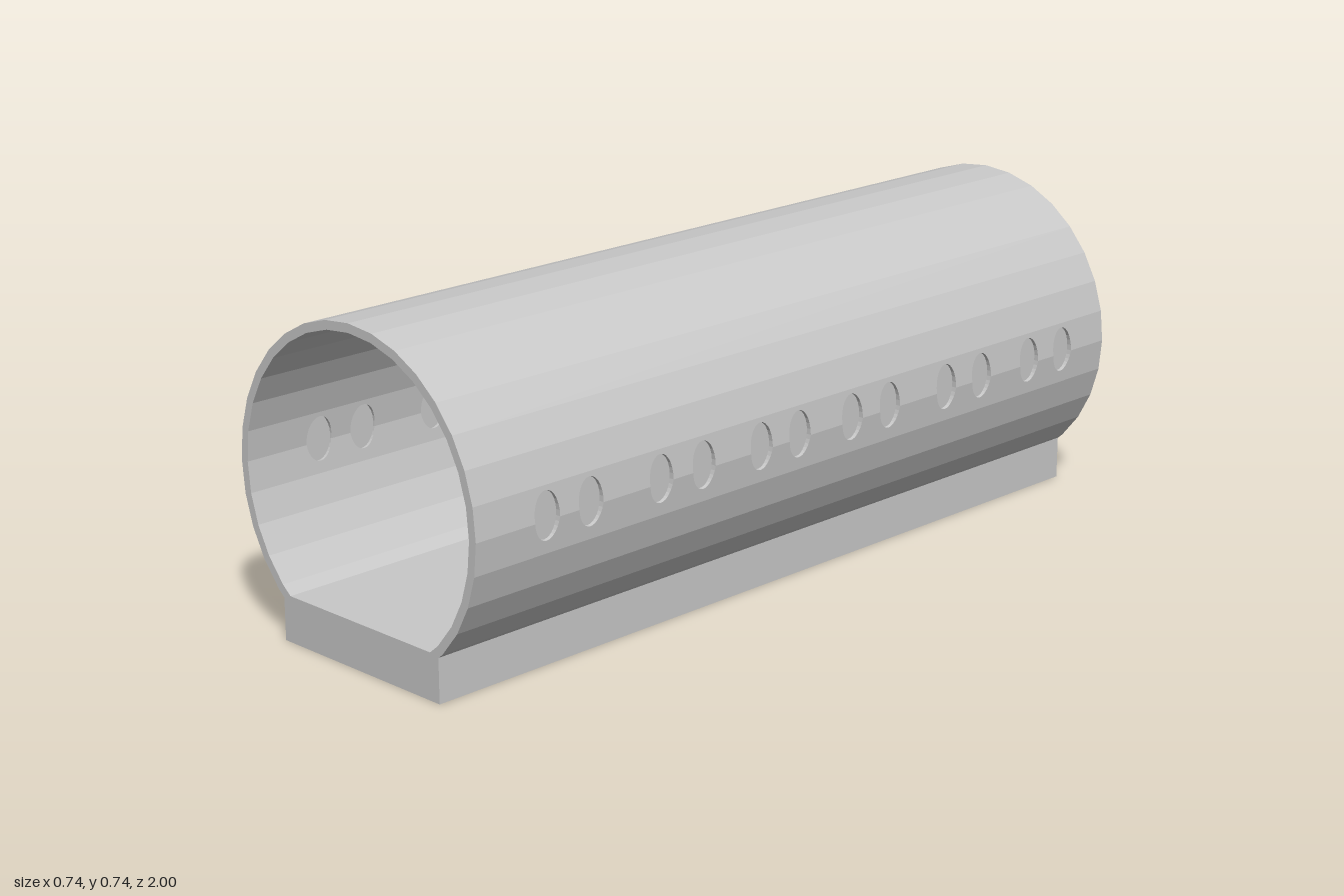
import * as THREE from 'three';

const SIDES = 32, STEP = (2 * Math.PI) / SIDES;
const OUTER = 0.371, INNER = 0.351, AXIS_Y = 0.373, LENGTH = 2;
// Window centres along the tube, and their oval size
const WINDOWS = [0.81, 0.69, 0.49, 0.365, 0.19, 0.07, -0.1, -0.225, -0.42, -0.545, -0.72, -0.845];
const RZ = 0.034, RY = 0.053, RISE = 0.009;

// Long facet beside the tube's midline, notched by half of each window.
// start: midline angle, dir: way round the tube, rise: window centre above the facet's edge
function windowFacet(start, dir, rise) {
  const width = OUTER * Math.sin(STEP);
  const shape = new THREE.Shape();
  shape.moveTo(-LENGTH / 2, 0);
  const a0 = Math.asin(-rise / RY);
  for (const z of [...WINDOWS].reverse()) {
    for (let i = 0; i <= 14; i++) {
      const a = Math.PI - a0 - ((Math.PI - 2 * a0) * i) / 14;
      shape.lineTo(z + RZ * Math.cos(a), Math.max(0, rise + RY * Math.sin(a)));
    }
  }
  shape.lineTo(LENGTH / 2, 0);
  shape.lineTo(LENGTH / 2, width);
  shape.lineTo(-LENGTH / 2, width);
  const geo = new THREE.ExtrudeGeometry(shape, { depth: OUTER - INNER, bevelEnabled: false });

  // Lay the flat strip onto the tube's facet
  const p = geo.attributes.position;
  const end = start + dir * STEP;
  for (let i = 0; i < p.count; i++) {
    const z = p.getX(i), t = p.getY(i) / width, r = INNER + p.getZ(i);
    p.setXYZ(i,
      r * THREE.MathUtils.lerp(Math.cos(start), Math.cos(end), t),
      r * THREE.MathUtils.lerp(Math.sin(start), Math.sin(end), t), z);
  }
  // Keep faces outward where the mapping mirrors them
  if (dir > 0) {
    const b = new THREE.Vector3(), c = new THREE.Vector3();
    for (let i = 0; i < p.count; i += 3) {
      b.fromBufferAttribute(p, i + 1);
      c.fromBufferAttribute(p, i + 2);
      p.setXYZ(i + 1, c.x, c.y, c.z);
      p.setXYZ(i + 2, b.x, b.y, b.z);
    }
  }
  geo.computeVertexNormals();
  return geo;
}

// Plain curved shell between the two window rows
function shellArc(start) {
  const n = SIDES / 2 - 2, pts = [];
  const at = (r, i) => new THREE.Vector2(r * Math.cos(start + i * STEP), r * Math.sin(start + i * STEP));
  for (let i = 0; i <= n; i++) pts.push(at(OUTER, i));
  for (let i = n; i >= 0; i--) pts.push(at(INNER, i));
  const geo = new THREE.ExtrudeGeometry(new THREE.Shape(pts), { depth: LENGTH, bevelEnabled: false });
  return geo.translate(0, 0, -LENGTH / 2);
}

export function createModel() {
  const model = new THREE.Group();
  const grey = new THREE.MeshStandardMaterial({ color: 0xc8c8c8 });
  grey.name = 'light grey';

  const add = (parent, name, geo) => {
    const mesh = new THREE.Mesh(geo, grey);
    mesh.name = name;
    parent.add(mesh);
    return mesh;
  };

  // Hollow tube
  const tube = new THREE.Group();
  tube.name = 'tube';
  tube.position.y = AXIS_Y;
  model.add(tube);
  add(tube, 'upperShell', shellArc(STEP));
  add(tube, 'lowerShell', shellArc(Math.PI + STEP));
  for (const side of [1, -1]) {
    const label = side > 0 ? 'left' : 'right';
    const start = side > 0 ? 0 : Math.PI;
    add(tube, label + 'UpperFacet', windowFacet(start, side, RISE));
    add(tube, label + 'LowerFacet', windowFacet(start, -side, -RISE));

    // Oval panes set into the middle of the wall
    for (const z of WINDOWS) {
      const pane = add(tube, label + 'WindowPane', new THREE.CylinderGeometry(1, 1, 0.004, 28));
      pane.rotation.z = Math.PI / 2;
      pane.scale.set(RY, 1, RZ);
      pane.position.set(side * 0.357, RISE, z);
    }
  }

  // Base slab that also forms the floor inside
  add(model, 'base', new THREE.BoxGeometry(0.495, 0.105, LENGTH)).position.set(0.002, 0.0525, 0);

  return model;
}
